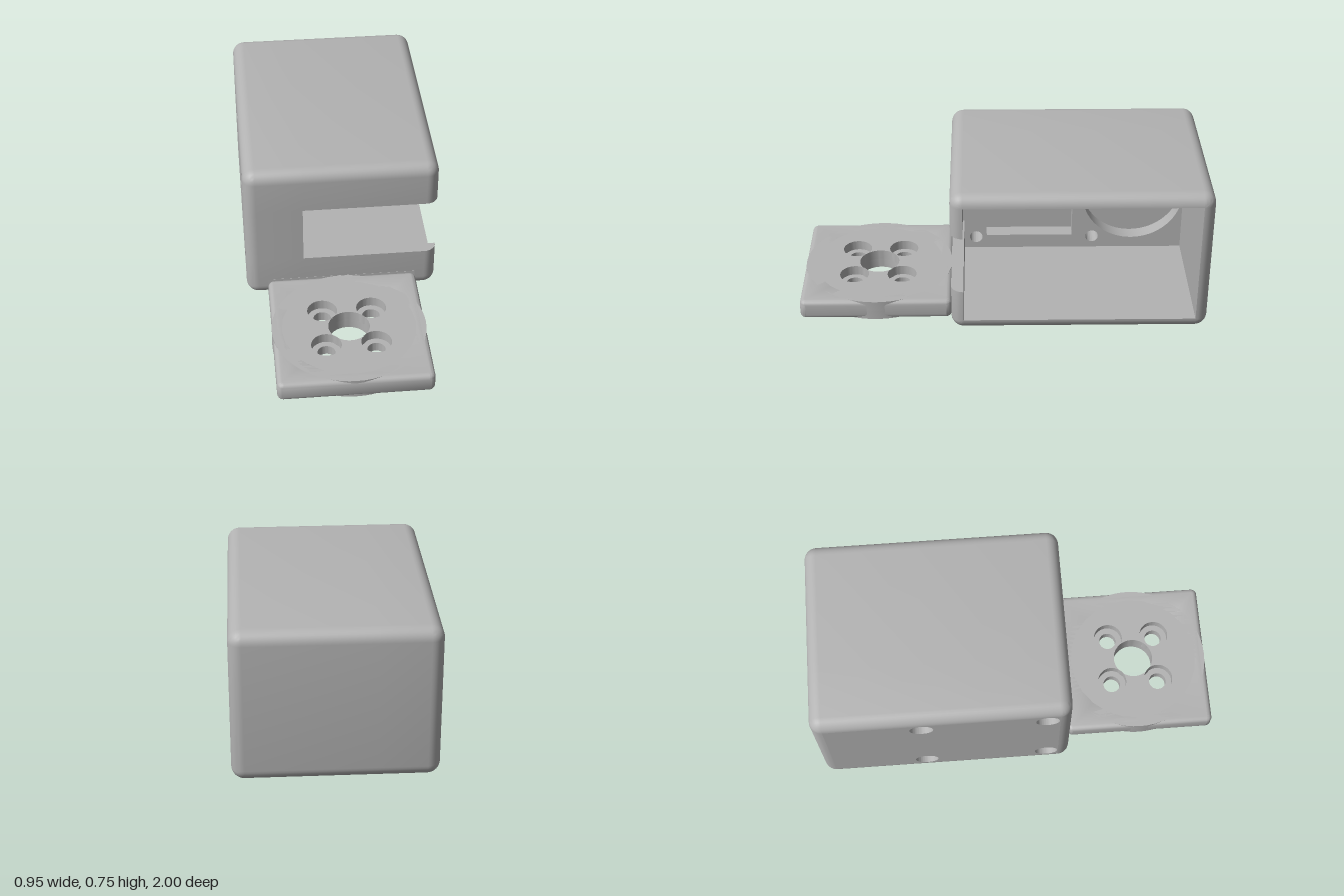
import * as THREE from 'three';
import { toCreasedNormals } from 'three/addons/utils/BufferGeometryUtils.js';

const R = 0.06;                                   // housing edge radius and wall
const X = 0.475, Y0 = 0, Y1 = 0.748, Z0 = -1, Z1 = 0.25;
const core = { y0: Y0 + R, y1: Y1 - R, z0: Z0 + R, z1: Z1 - R };
const slot = { x: -0.19, y0: 0.225, y1: 0.525 };
const floorX = -0.27;                             // bottom of the pockets

const grey = new THREE.MeshStandardMaterial({ color: 0xb3b3b3, side: THREE.DoubleSide });
grey.name = 'grey plastic';

function add(group, name, geometry) {
  const mesh = new THREE.Mesh(geometry, grey);
  mesh.name = name;
  group.add(mesh);
  return mesh;
}

const circle = (x, y, r) => new THREE.Path().absarc(x, y, r, 0, Math.PI * 2, true);

function rect(x0, y0, x1, y1, Type = THREE.Shape) {
  return new Type([[x0, y0], [x1, y0], [x1, y1], [x0, y1]].map(p => new THREE.Vector2(...p)));
}

function extrude(shape, depth, options = {}) {
  return toCreasedNormals(
    new THREE.ExtrudeGeometry(shape, { depth, bevelEnabled: false, curveSegments: 32, ...options }), 0.6);
}

// Stations [x, offset from core] running over the outside, round the rim and back inside
function shellStations() {
  const s = [], n = 8;
  for (let i = 0; i <= n; i++) {
    const a = i / n * Math.PI / 2;
    s.push([-X + R * (1 - Math.cos(a)), R * Math.sin(a)]);
  }
  s.push([slot.x, R]);
  for (let i = 0; i <= n; i++) {
    const a = i / n * Math.PI / 2;
    s.push([X - R + R * Math.sin(a), R * Math.cos(a)]);
  }
  s.push([slot.x, 0]);
  return s;
}

// Loop round the core: base point plus outward direction, all in (z, y)
function shellLoop() {
  const loop = [], n = 8;
  const corners = [[core.z1, core.y0], [core.z1, core.y1], [core.z0, core.y1], [core.z0, core.y0]];
  corners.forEach(([z, y], k) => {
    for (let i = 0; i <= n; i++) {
      const a = (k - 1 + i / n) * Math.PI / 2;
      loop.push([z, y, Math.cos(a), Math.sin(a)]);
    }
    if (k === 0) loop.push([z, slot.y0, 1, 0], [z, slot.y1, 1, 0]);
  });
  return loop;
}

function shellGeometry(stations) {
  const loop = shellLoop(), m = loop.length, pos = [], idx = [];
  for (const [x, o] of stations)
    for (const [z, y, dz, dy] of loop) pos.push(x, y + dy * o, z + dz * o);
  const gap = loop.findIndex(p => p[1] === slot.y0);
  for (let s = 0; s < stations.length - 1; s++)
    for (let j = 0; j < m; j++) {
      // leave the front slot open
      if (j === gap && stations[s][0] >= slot.x && stations[s + 1][0] >= slot.x) continue;
      const k = (j + 1) % m, a = s * m + j, b = a + m, c = (s + 1) * m + k, d = s * m + k;
      idx.push(a, b, c, a, c, d);
    }
  const g = new THREE.BufferGeometry();
  g.setAttribute('position', new THREE.Float32BufferAttribute(pos, 3));
  g.setIndex(idx);
  return toCreasedNormals(g, 0.6);
}

function buildHousing() {
  const g = new THREE.Group();
  g.name = 'housing';
  const stations = shellStations();
  add(g, 'shell', shellGeometry(stations));

  // Cut faces of the front slot
  const cut = new THREE.Shape(stations.filter(s => s[0] >= slot.x)
    .map(([x, o]) => new THREE.Vector2(x, core.z1 + o)));
  const lower = add(g, 'slotLowerFace', new THREE.ShapeGeometry(cut).scale(1, -1, 1).rotateX(-Math.PI / 2));
  lower.position.y = slot.y0;
  const upper = add(g, 'slotUpperFace', new THREE.ShapeGeometry(cut).rotateX(Math.PI / 2));
  upper.position.y = slot.y1;
  const end = add(g, 'slotEndFace', new THREE.PlaneGeometry(R, slot.y1 - slot.y0).rotateY(Math.PI / 2));
  end.position.set(slot.x, (slot.y0 + slot.y1) / 2, Z1 - R / 2);

  // Thick side wall in two layers: wide screw bores outside, pockets inside
  const screws = [0.13, -0.475].flatMap(z => [0.125, 0.628].map(y => [-z, y]));
  const layer = (name, x0, x1, r, extra) => {
    const shape = rect(-core.z1, core.y0, -core.z0, core.y1);
    shape.holes.push(...screws.map(([u, y]) => circle(u, y, r)), ...extra);
    add(g, name, extrude(shape, x1 - x0).rotateY(Math.PI / 2)).position.x = x0;
  };
  layer('sideWallOuter', -X, floorX, 0.057, []);
  layer('sideWallInner', floorX, slot.x, 0.033, [
    rect(-0.075, 0.135, 0.37, 0.62, THREE.Path),
    circle(0.68, 0.375, 0.258),
  ]);
  // Pocket floor, pierced by the narrow screw holes
  const seat = rect(-core.z1, core.y0, -core.z0, core.y1);
  seat.holes.push(...screws.map(([u, y]) => circle(u, y, 0.033)));
  add(g, 'screwSeats', extrude(seat, 0.02).rotateY(Math.PI / 2)).position.x = floorX - 0.02;
  return g;
}

function buildMount() {
  const g = new THREE.Group();
  g.name = 'mountPlate';
  const w = 0.37, d = 0.375, h = 0.1, b = 0.025, c = 0.03;
  const flat = geo => geo.rotateX(-Math.PI / 2);

  // Rounded square frame
  const frame = new THREE.Shape();
  frame.absarc(w - c, d - c, c, 0, Math.PI / 2);
  frame.absarc(-w + c, d - c, c, Math.PI / 2, Math.PI);
  frame.absarc(-w + c, -d + c, c, Math.PI, Math.PI * 1.5);
  frame.absarc(w - c, -d + c, c, Math.PI * 1.5, Math.PI * 2);
  frame.holes.push(circle(0, 0, 0.3));
  add(g, 'plateFrame', flat(extrude(frame, h - 2 * b, {
    bevelEnabled: true, bevelSize: b, bevelThickness: b, bevelOffset: -b, bevelSegments: 5, curveSegments: 12,
  }))).position.y = b;

  // Sharp-edged disc with centre hole and four counterbored screw holes
  const disc = (name, y, r) => {
    const shape = new THREE.Shape().absarc(0, 0, 0.373, 0, Math.PI * 2);
    shape.holes.push(circle(0, 0, 0.1));
    for (const x of [-0.12, 0.12]) for (const z of [-0.12, 0.12]) shape.holes.push(circle(x, z, r));
    add(g, name, flat(extrude(shape, h / 2))).position.y = y;
  };
  disc('discLower', 0, 0.043);
  disc('discUpper', h / 2, 0.073);
  g.position.z = 0.625;
  return g;
}

export function createModel() {
  const model = new THREE.Group();
  model.name = 'enclosureWithMount';
  model.add(buildHousing(), buildMount());
  // Block joining the plate to the housing's rounded lower edge
  add(model, 'plateJoint', new THREE.BoxGeometry(0.74, 0.1, 0.055)).position.set(0, 0.05, 0.2235);
  return model;
}
